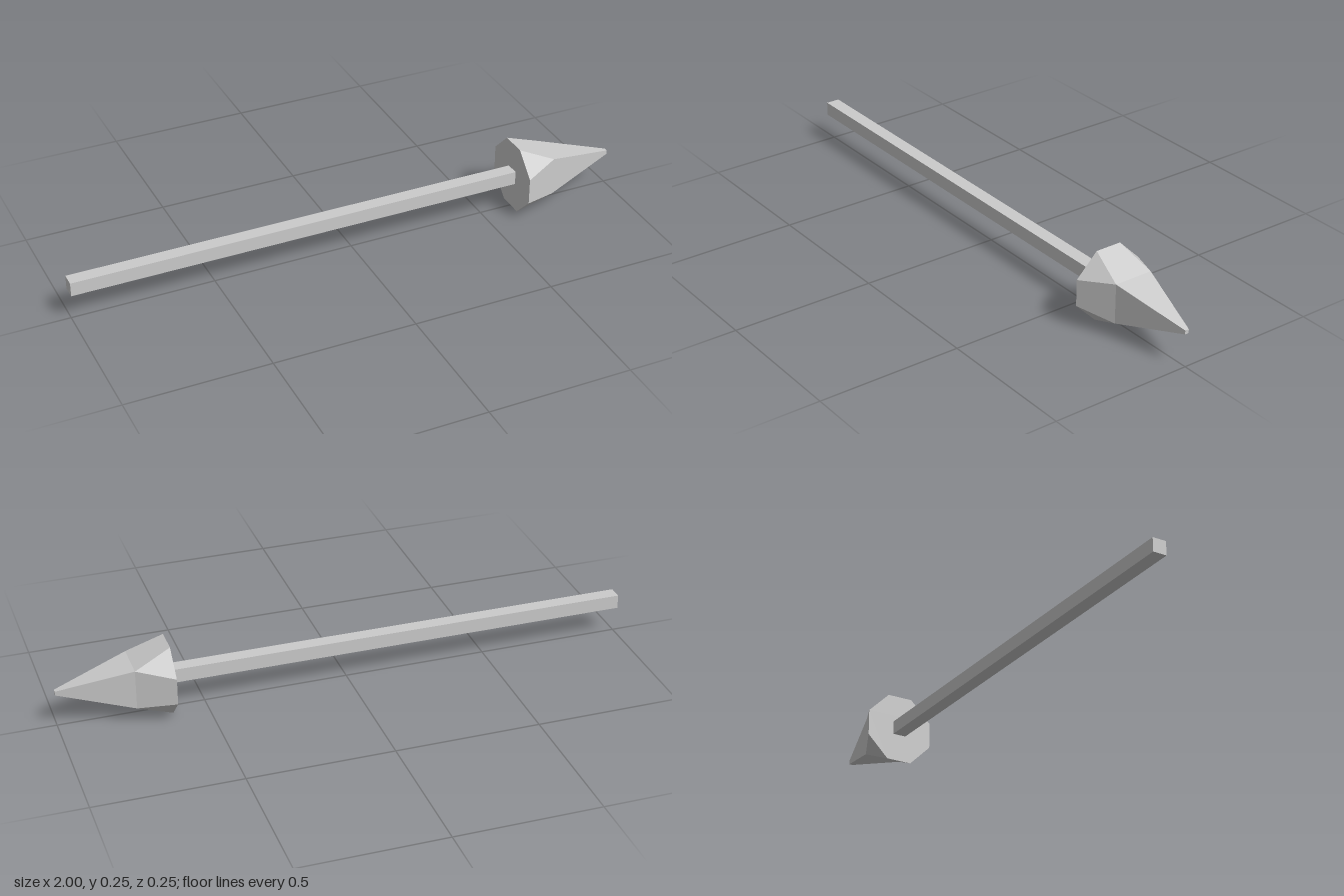
import * as THREE from 'three';

const AXIS_Y = 0.125;

// Head: octagonal back, square shoulder, tiny square tip; four mirrored sides around the x axis.
function headGeometry() {
  const verts = [];
  const poly = (...p) => {
    for (let i = 1; i < p.length - 1; i++) verts.push(...p[0], ...p[i], ...p[i + 1]);
  };
  // Point at x, distance out from the axis and offset across, for side k
  const point = (k, x, out, across) => {
    const c = [1, 0, -1, 0][k % 4], s = [0, 1, 0, -1][k % 4];
    return [x, c * out - s * across, s * out + c * across];
  };
  const back = [], tip = [];
  for (let k = 0; k < 4; k++) {
    const [b0, b1] = [-1, 1].map(s => point(k, 0.62, 0.125, s * 0.047));
    const [s0, s1] = [-1, 1].map(s => point(k, 0.745, 0.07, s * 0.07));
    const [t0, t1] = [-1, 1].map(s => point(k, 1, 0.007, s * 0.007));
    poly(b0, b1, s1, s0);                                  // flared back facet
    poly(s0, s1, t1, t0);                                  // long point facet
    poly(b1, point(k + 1, 0.62, 0.125, -0.047), s1);       // corner facet
    back.unshift(b1, b0);
    tip.push(t0);
  }
  poly(...back);
  poly(...tip);
  const geo = new THREE.BufferGeometry();
  geo.setAttribute('position', new THREE.Float32BufferAttribute(verts, 3));
  geo.computeVertexNormals();
  return geo;
}

export function createModel() {
  const group = new THREE.Group();
  group.name = 'arrow';
  const material = new THREE.MeshStandardMaterial({ color: 0xcccccc, flatShading: true });

  // Square shaft
  const shaft = new THREE.Mesh(new THREE.BoxGeometry(1.62, 0.049, 0.049), material);
  shaft.name = 'shaft';
  shaft.position.set(-0.19, AXIS_Y, 0);

  // Faceted head
  const head = new THREE.Mesh(headGeometry(), material);
  head.name = 'arrowHead';
  head.position.y = AXIS_Y;

  group.add(shaft, head);
  return group;
}
